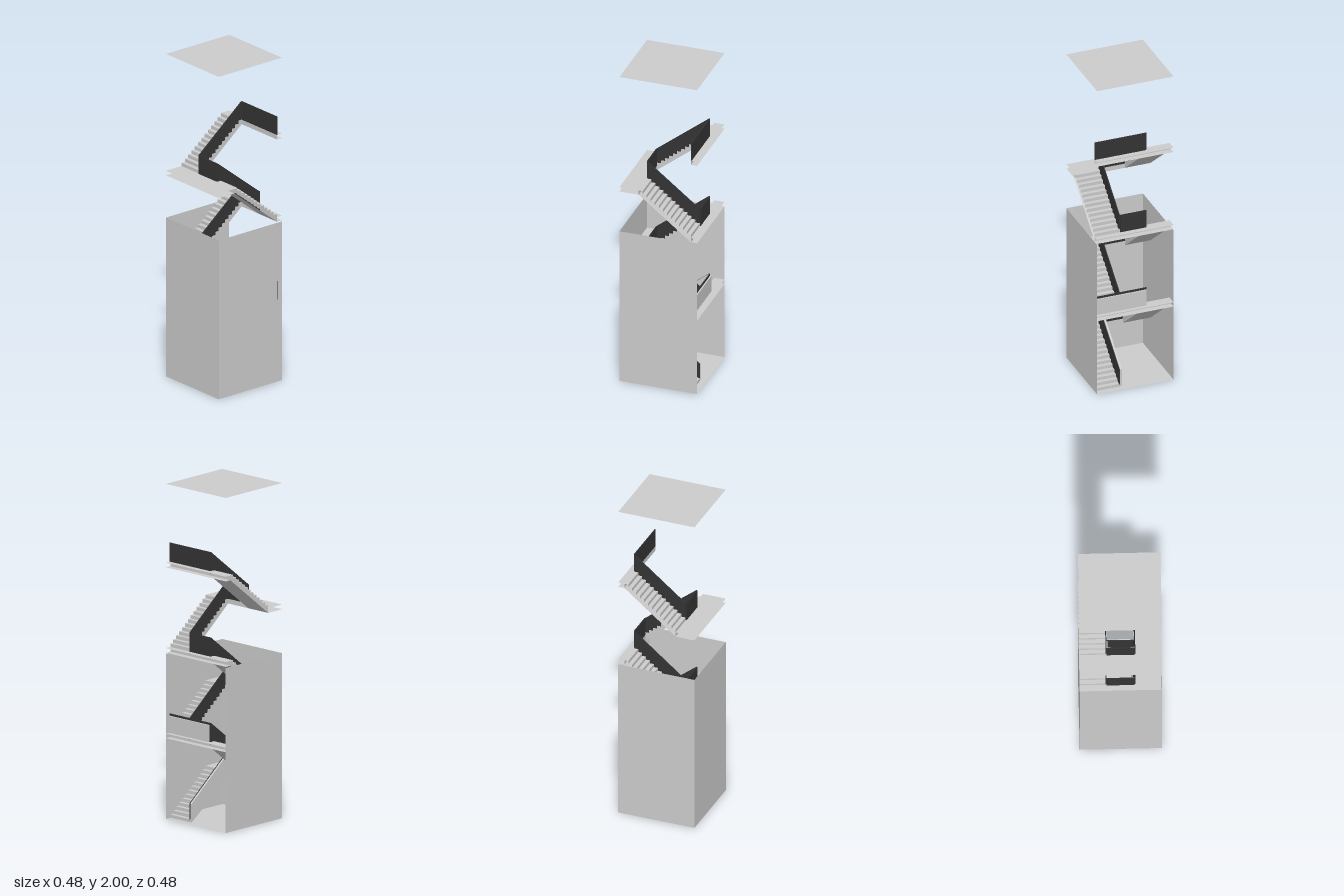
import * as THREE from 'three';

const W = 0.238;                 // half width of the stairwell
const IN = 0.08;                 // inner edge of the flights
const ZB = -0.2, ZF = 0.12;      // back and front ends of the flights
const RISE = 0.255, STEPS = 13, RAIL = 0.113, SLAB = 0.028;

const grey = new THREE.MeshStandardMaterial({ color: 0xcccccc, side: THREE.DoubleSide, flatShading: true });
const dark = new THREE.MeshStandardMaterial({ color: 0x343434, side: THREE.DoubleSide, flatShading: true });

function add(group, name, geometry, material = grey) {
  const mesh = new THREE.Mesh(geometry, material);
  mesh.name = name;
  group.add(mesh);
  return mesh;
}

// Open sheet: a (z, y) path swept from x0 to x1
function sheet(path, x0, x1) {
  const pos = [];
  for (let i = 0; i < path.length - 1; i++) {
    const [z0, y0] = path[i], [z1, y1] = path[i + 1];
    pos.push(x0, y0, z0, x1, y0, z0, x1, y1, z1, x0, y0, z0, x1, y1, z1, x0, y1, z1);
  }
  const g = new THREE.BufferGeometry();
  g.setAttribute('position', new THREE.Float32BufferAttribute(pos, 3));
  g.computeVertexNormals();
  return g;
}

// Solid panel: a (z, y) outline given thickness from x0 to x1
function panel(outline, x0, x1) {
  const shape = new THREE.Shape(outline.map(([z, y]) => new THREE.Vector2(-z, y)));
  const g = new THREE.ExtrudeGeometry(shape, { depth: x1 - x0, bevelEnabled: false });
  return g.rotateY(Math.PI / 2).translate(x0, 0, 0);
}

function box(x0, x1, y0, y1, z0, z1) {
  return new THREE.BoxGeometry(x1 - x0, y1 - y0, z1 - z0)
    .translate((x0 + x1) / 2, (y0 + y1) / 2, (z0 + z1) / 2);
}

// One flight from (z0, y) to (z1, y + RISE); side is +1 or -1 in x
function flight(y, z0, z1, side, clad) {
  const group = new THREE.Group();
  group.name = 'flight';
  const steps = [[z0, y]];
  for (let i = 0; i < STEPS; i++) {
    const z = z0 + (z1 - z0) * i / STEPS, h = y + RISE * (i + 1) / STEPS;
    steps.push([z, h], [z0 + (z1 - z0) * (i + 1) / STEPS, h]);
  }
  const low = Math.max(y - SLAB, 0.002);
  const soffit = [[z1, y + RISE - SLAB], [z0, low]];
  const inner = side * IN, outer = side * W;
  add(group, 'steps', sheet(steps, inner, outer));
  add(group, 'soffit', sheet(soffit, inner, outer));

  // Stepped cheek on the inner side only; the outer side meets the wall
  const cheek = new THREE.ShapeGeometry(
    new THREE.Shape([...steps, ...soffit].map(([z, h]) => new THREE.Vector2(-z, h))));
  add(group, 'cheek', cheek.rotateY(Math.PI / 2).translate(inner, 0, 0));

  // Sloping balustrade just inside the cheek
  const rail = [[z0, low + 0.012], [z1, y + RISE - SLAB + 0.012], [z1, y + RISE + RAIL], [z0, y + RAIL]];
  const a = side * (IN + 0.001), b = side * (IN + 0.006);
  add(group, 'balustrade', panel(rail, Math.min(a, b), Math.max(a, b)), dark);
  if (clad) {
    const c = side * (IN - 0.012), d = side * (IN - 0.0005);
    const face = [[z0, low], [z1, y + RISE - SLAB], [z1, y + RISE + RAIL], [z0, y + RAIL]];
    add(group, 'cladding', panel(face, Math.min(c, d), Math.max(c, d)));
  }
  return group;
}

// Landing: top, edge and underside, open towards the walls
function landing(y, edge, wall) {
  return sheet([[wall, y], [edge, y], [edge, y - SLAB], [wall, y - SLAB]], -W, W);
}

export function createModel() {
  const model = new THREE.Group();
  model.name = 'stairwell';

  // Shell: floor, three walls with an open back, and the roof sheet
  const shell = new THREE.Group();
  shell.name = 'shell';
  const H = 0.985, S = 2 * W;
  for (const [name, y] of [['floor', 0], ['roof', 2]])
    add(shell, name, new THREE.PlaneGeometry(S, S).rotateX(-Math.PI / 2).translate(0, y, 0));
  add(shell, 'frontWall', new THREE.PlaneGeometry(S, H).translate(0, H / 2, W));
  for (const s of [-1, 1])
    add(shell, s > 0 ? 'leftWall' : 'rightWall',
      new THREE.PlaneGeometry(S, H).rotateY(s * Math.PI / 2).translate(s * W, H / 2, 0));
  model.add(shell);

  // Three storeys, each with two flights, a half landing and a floor landing
  for (let i = 0; i < 3; i++) {
    const y = i * 2 * RISE, mid = y + RISE, top = y + 2 * RISE;
    const storey = new THREE.Group();
    storey.name = 'storey' + (i + 1);
    storey.add(flight(y, ZB, ZF, 1, i === 0), flight(mid, ZF, ZB, -1, i === 0));
    add(storey, 'halfLanding', landing(mid, ZF, W));
    add(storey, 'floorLanding', landing(top, ZB, -W));
    add(storey, 'halfLandingRail', box(-IN, IN, mid, mid + RAIL, ZF, ZF + 0.005), dark);
    const end = i === 1 ? IN : W;
    add(storey, 'floorLandingRail', box(-IN, end, top, top + RAIL, ZB - 0.005, ZB), dark);
    if (i === 0) add(storey, 'railCladding', box(-IN, W, top, top + RAIL - 0.012, ZB - 0.014, ZB - 0.0055));
    model.add(storey);
  }
  return model;
}
